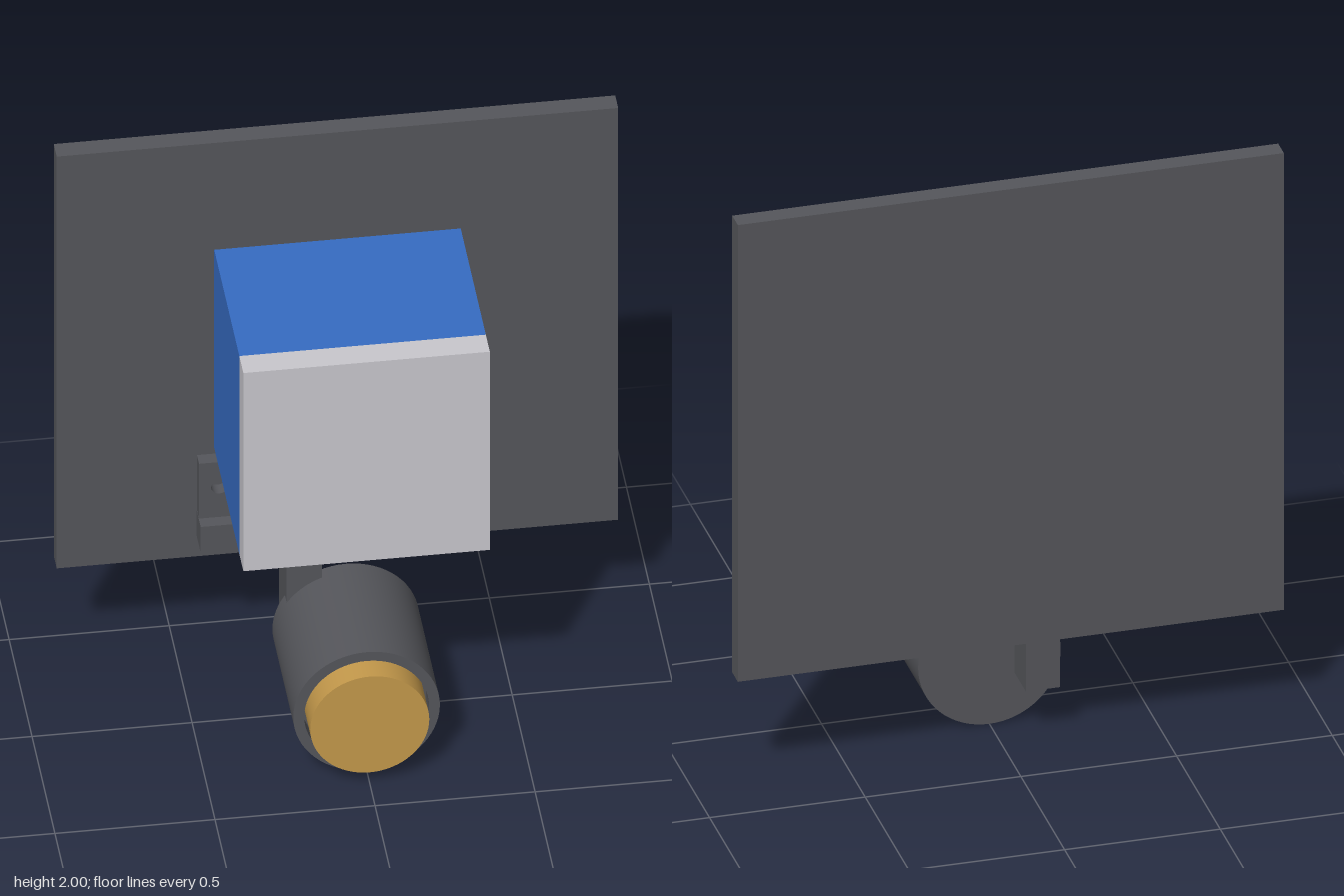
import * as THREE from 'three';

const mat = (name, color) => {
  const m = new THREE.MeshStandardMaterial({ color });
  m.name = name;
  return m;
};

export function createModel() {
  const model = new THREE.Group();
  model.name = 'panelMountedSensor';
  const dark = mat('dark grey', 0x55565b);
  const blue = mat('blue', 0x366cc2);
  const pale = mat('pale grey', 0xc8c7cd);
  const gold = mat('gold', 0xc4994b);

  const add = (parent, name, geometry, material) => {
    const mesh = new THREE.Mesh(geometry, material);
    mesh.name = name;
    parent.add(mesh);
    return mesh;
  };
  // Box given by its lower and upper limits on each axis
  const box = (parent, name, material, [x0, x1], [y0, y1], [z0, z1]) =>
    add(parent, name, new THREE.BoxGeometry(x1 - x0, y1 - y0, z1 - z0), material)
      .position.set((x0 + x1) / 2, (y0 + y1) / 2, (z0 + z1) / 2);

  // Back panel and the cube mounted on it
  box(model, 'backPanel', dark, [-0.877, 0.877], [0.4, 2], [-0.385, -0.32]);
  box(model, 'cubeBody', blue, [-0.385, 0.385], [0.815, 1.585], [-0.32, 0.228]);
  box(model, 'cubeFace', pale, [-0.385, 0.385], [0.815, 1.585], [0.228, 0.316]);

  // Bracket: crossbar, hanging post and two drilled tabs
  const bracket = new THREE.Group();
  bracket.name = 'bracket';
  model.add(bracket);
  box(bracket, 'crossbar', dark, [-0.44, 0.17], [0.48, 0.58], [-0.32, -0.232]);
  box(bracket, 'post', dark, [-0.19, -0.08], [0.17, 0.58], [-0.272, -0.1]);
  for (const [name, x] of [['rightTab', -0.375], ['leftTab', 0.107]]) {
    const shape = new THREE.Shape([
      new THREE.Vector2(-0.064, 0.58), new THREE.Vector2(0.064, 0.58),
      new THREE.Vector2(0.064, 0.793), new THREE.Vector2(-0.064, 0.793),
    ]);
    shape.holes.push(new THREE.Path().absarc(0, 0.697, 0.026, 0, Math.PI * 2, true));
    const geometry = new THREE.ExtrudeGeometry(shape, { depth: 0.045, bevelEnabled: false, curveSegments: 24 });
    add(bracket, name, geometry, dark).position.set(x, 0, -0.32);
  }

  // Cylindrical housing with a recessed front, built as lathe bands with crisp edges
  const housing = new THREE.Group();
  housing.name = 'housing';
  housing.position.y = 0.23;
  housing.rotation.x = Math.PI / 2;
  model.add(housing);
  const profile = [[0, -0.14], [0.229, -0.14], [0.229, 0.316], [0.195, 0.316], [0.195, 0.25], [0, 0.25]];
  const bands = ['housingBack', 'housingSide', 'housingRim', 'recessWall', 'recessFloor'];
  bands.forEach((name, i) => {
    const points = profile.slice(i, i + 2).map(([r, y]) => new THREE.Vector2(r, y));
    add(housing, name, new THREE.LatheGeometry(points, 64), dark);
  });

  // Lens standing out of the recess
  add(housing, 'lens', new THREE.CylinderGeometry(0.186, 0.186, 0.135, 64), gold).position.y = 0.3175;
  return model;
}
